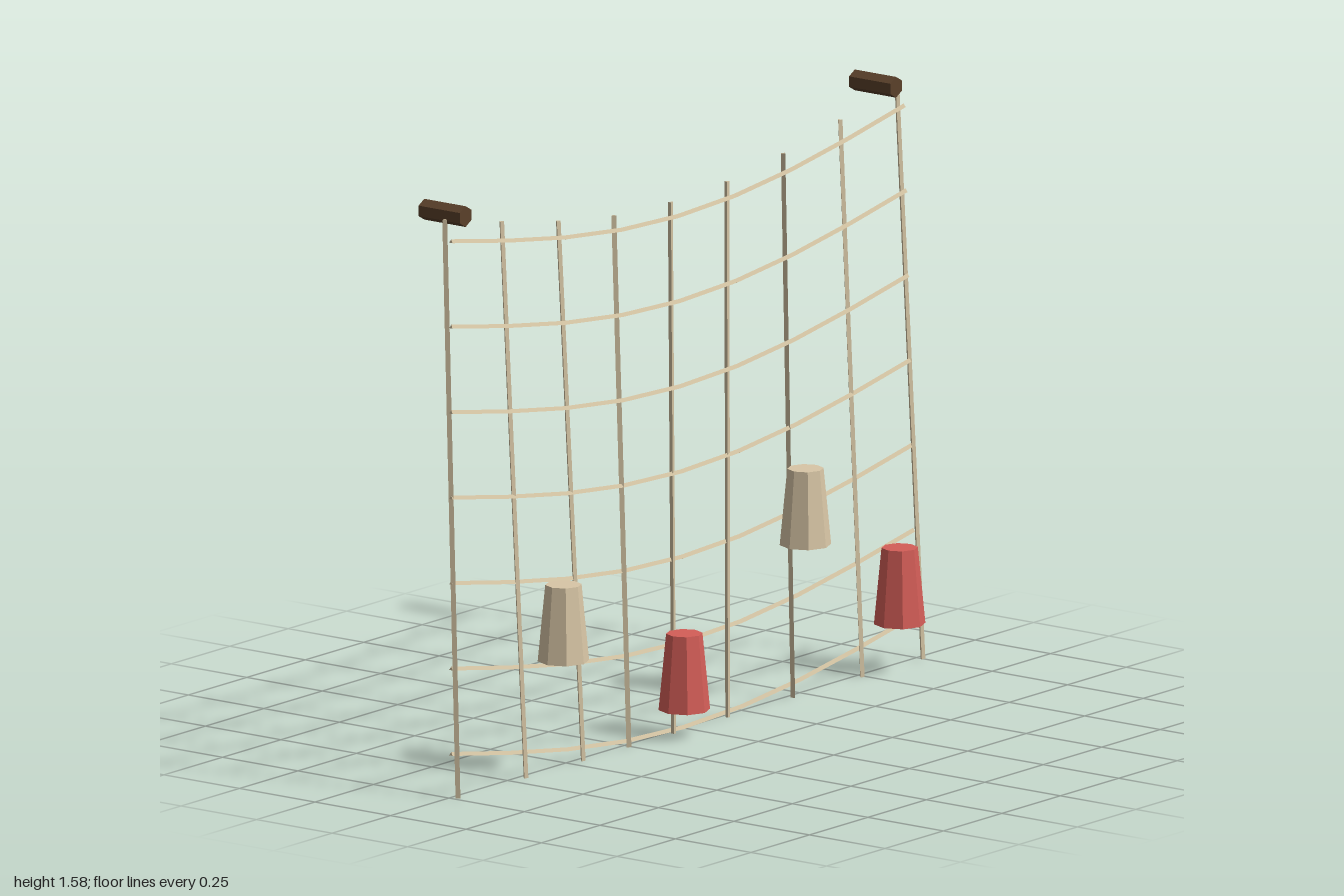
import * as THREE from 'three';

export function createModel() {
  const net = new THREE.Group();
  net.name = 'hangingNet';

  const mat = (name, color) => {
    const m = new THREE.MeshStandardMaterial({ color });
    m.name = name;
    m.flatShading = true;
    return m;
  };
  const rope = mat('rope', 0xd0c0a0);
  const tan = mat('tanFloat', 0xd8c6a6);
  const red = mat('redFloat', 0xd45e58);
  const wood = mat('darkWood', 0x5a402a);

  const add = (name, geometry, material, x = 0, y = 0, z = 0) => {
    const mesh = new THREE.Mesh(geometry, material);
    mesh.name = name;
    mesh.position.set(x, y, z);
    net.add(mesh);
    return mesh;
  };

  // Three-sided cord from a to b, with one ridge turned upwards
  const addCord = (name, a, b, radius) => {
    const shape = new THREE.CylinderGeometry(radius, radius, a.distanceTo(b), 3).rotateX(-Math.PI / 2);
    const cord = add(name, shape, rope);
    cord.position.copy(a).add(b).multiplyScalar(0.5);
    cord.lookAt(b);
  };

  // Straight cords: [top x, bottom x, top y], leaning slightly backwards
  const cords = [
    [-0.994, -0.994, 1.555], [-0.753, -0.706, 1.505], [-0.511, -0.461, 1.46],
    [-0.272, -0.264, 1.43], [-0.029, -0.072, 1.42], [0.212, 0.159, 1.43],
    [0.455, 0.44, 1.46], [0.694, 0.732, 1.505], [0.937, 0.992, 1.555],
  ];
  for (const [topX, bottomX, topY] of cords) {
    addCord('verticalCord', new THREE.Vector3(bottomX, 0.004, 0.026), new THREE.Vector3(topX, topY, -0.018), 0.0075);
  }

  // Sagging cross cords in straight runs, slightly longer towards the bottom
  const runs = 8;
  for (let i = 0; i < 7; i++) {
    const right = 0.938 + i * 0.008;
    const point = (t) => new THREE.Vector3(
      THREE.MathUtils.lerp(-0.999, right, t), 1.5 - i * 0.23 - 0.115 * Math.sin(Math.PI * t), 0.006);
    for (let k = 0; k < runs; k++) addCord('crossCord', point(k / runs), point((k + 1) / runs), 0.0065);
  }

  // Tapered floats: [x, base y, material]
  const floatShape = new THREE.CylinderGeometry(0.048, 0.068, 0.205, 8);
  for (const [x, y, m] of [[-0.592, 0.304, tan], [-0.075, 0.075, red], [0.443, 0.421, tan], [0.846, 0.132, red]]) {
    add('float', floatShape, m, x, y + 0.1025, 0.063);
  }

  // Wall pegs behind the top corners
  const pegShape = new THREE.CylinderGeometry(0.028, 0.028, 0.137, 6).rotateX(Math.PI / 2);
  for (const x of [-0.937, 0.904]) add('peg', pegShape, wood, x, 1.556, -0.062);

  return net;
}
